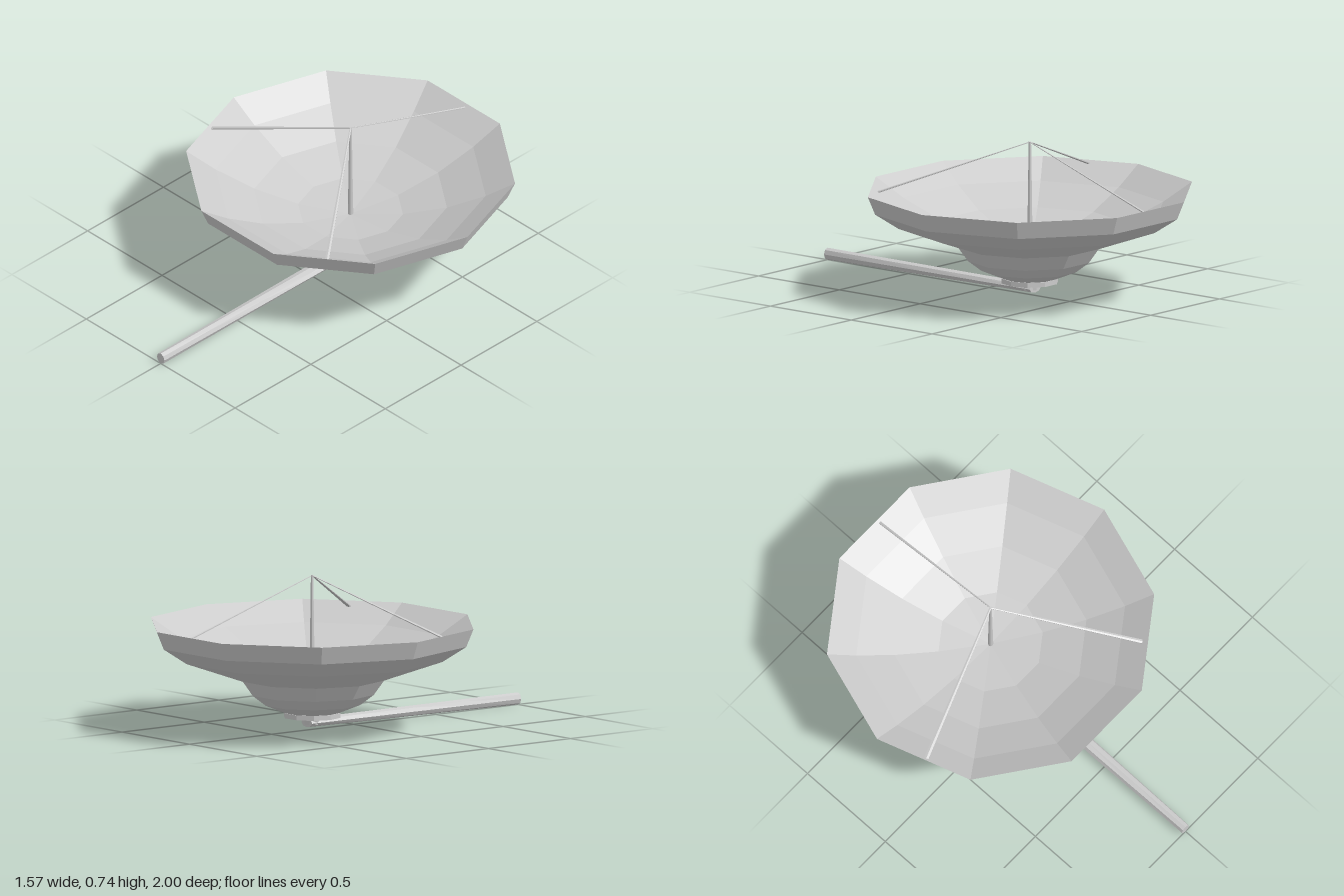
import * as THREE from 'three';

const CZ = -0.253; // dish axis
const mat = new THREE.MeshStandardMaterial({ color: 0xcccccc, flatShading: true, side: THREE.DoubleSide });

function add(group, name, geometry) {
  const mesh = new THREE.Mesh(geometry, mat);
  mesh.name = name;
  group.add(mesh);
  return mesh;
}

// Ten-sided turned shell with a corner on the x axis
function turned(profile) {
  const points = profile.map(([r, y]) => new THREE.Vector2(r, y));
  return new THREE.LatheGeometry(points, 10, Math.PI / 10).translate(0, 0, CZ);
}

// Flat tapering rod from a to b
function rod(a, b, wide, thin) {
  const start = new THREE.Vector3(...a), dir = new THREE.Vector3(...b).sub(start);
  const g = new THREE.CylinderGeometry(1, 0.45, dir.length(), 6);
  g.scale(wide, 1, thin).translate(0, dir.length() / 2, 0);
  const up = dir.clone().normalize();
  const side = new THREE.Vector3(0, 1, 0).cross(up).normalize();
  const basis = new THREE.Matrix4().makeBasis(side, up, side.clone().cross(up));
  return g.applyMatrix4(basis).translate(...a);
}

export function createModel() {
  const model = new THREE.Group();
  model.name = 'dishAntenna';

  // Dish: outer shell and shallow inner bowl meeting at the rim
  add(model, 'dishShell', turned([[0.35, 0.245], [0.635, 0.345], [0.75, 0.42], [0.785, 0.505]]));
  add(model, 'dishBowl', turned([[0.785, 0.505], [0.645, 0.415], [0.46, 0.325], [0.25, 0.262], [0, 0.235]]));

  // Rounded housing below the dish, and its flange
  add(model, 'housing', turned([[0, 0.08], [0.125, 0.08], [0.235, 0.125], [0.30, 0.175], [0.35, 0.245]]));
  add(model, 'flange', turned([[0, 0.06], [0.137, 0.06], [0.137, 0.083], [0, 0.083]]));

  // Central feed mast
  const mast = add(model, 'feedMast', new THREE.CylinderGeometry(0.006, 0.013, 0.5, 8));
  mast.position.set(0, 0.485, CZ);

  // Three struts from the mast tip to the rim
  const tip = [0, 0.733, CZ];
  [[[-0.695, 0.492, -0.02], 0.013], [[0.43, 0.482, 0.325], 0.011], [[0.022, 0.492, -0.985], 0.007]]
    .forEach(([end, wide], i) => add(model, 'strut' + (i + 1), rod(tip, end, wide, 0.005)));

  // Short neck under the flange
  const neck = add(model, 'neck', new THREE.CylinderGeometry(0.042, 0.038, 0.04, 8));
  neck.position.set(0, 0.045, CZ);

  // Long support arm, flattened at the neck and round at the free end
  const arm = new THREE.CylinderGeometry(1, 1, 1, 8, 4).rotateX(Math.PI / 2);
  const p = arm.attributes.position;
  for (let i = 0; i < p.count; i++) {
    const t = p.getZ(i) + 0.5;
    p.setXYZ(i,
      p.getX(i) * THREE.MathUtils.lerp(0.04, 0.025, t),
      THREE.MathUtils.lerp(0.034, 0.029, t) + p.getY(i) * THREE.MathUtils.lerp(0.021, 0.029, t),
      THREE.MathUtils.lerp(-0.285, 1, t));
  }
  arm.computeVertexNormals();
  add(model, 'supportArm', arm);

  return model;
}
